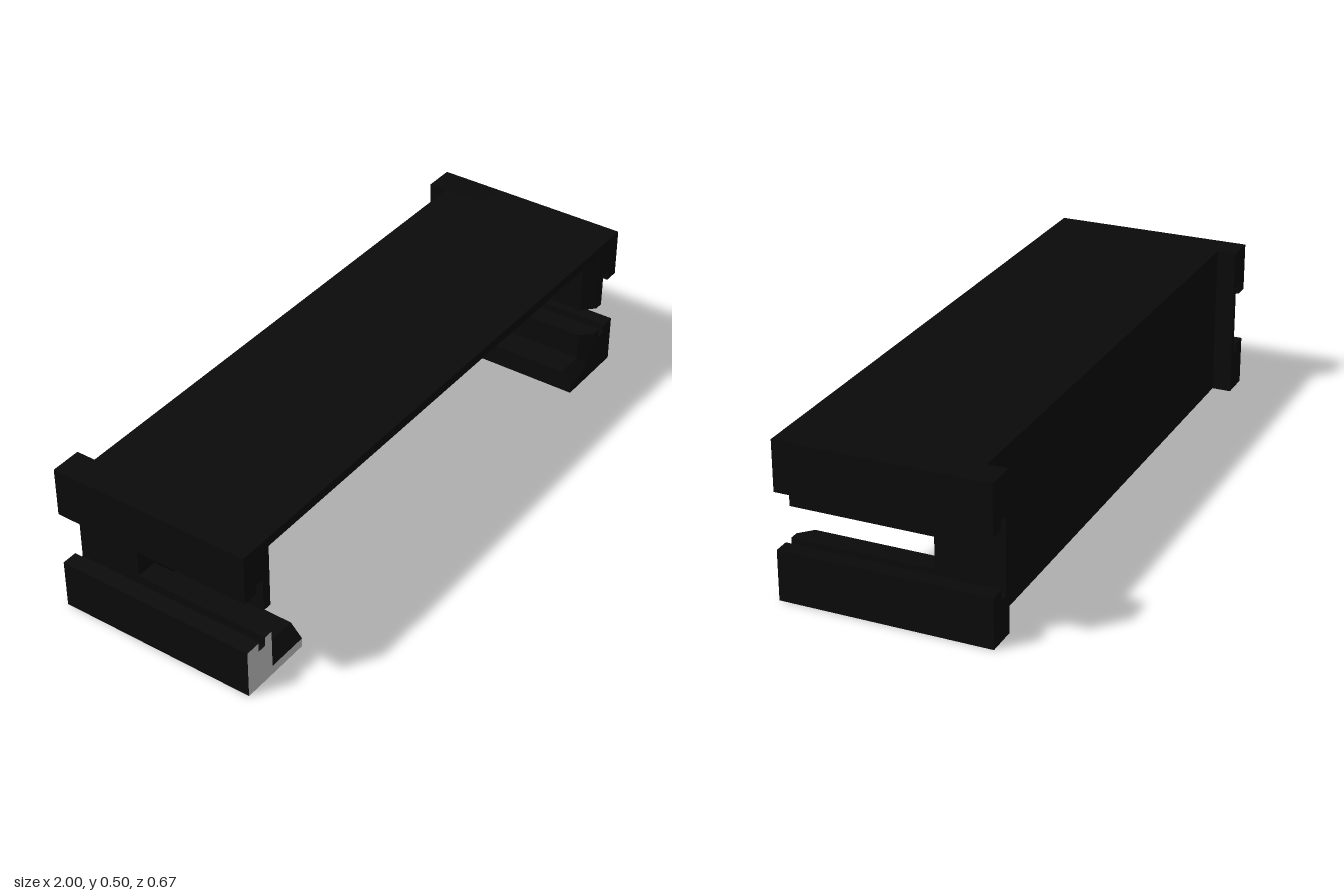
import * as THREE from 'three';

const BACK = -0.333, FRONT = 0.333, PLATE = -0.27, WEB = -0.118, RAMP = 0.295;

const shapeOf = (points) => new THREE.Shape(points.map(([x, y]) => new THREE.Vector2(x, y)));
const mirrorX = (points) => points.map(([x, y]) => [-x, y]).reverse();

// Extrude a front-facing profile between two depths
function extrude(points, z0, z1) {
  const g = new THREE.ExtrudeGeometry(shapeOf(points), { depth: z1 - z0, bevelEnabled: false });
  return g.translate(0, 0, z0);
}

// Widen the inner opening of a profile, used for the lead-in at the mouth
const near = (a, b) => Math.abs(a - b) < 1e-4;
function widen([x, y]) {
  const wx = near(Math.abs(x), 0.85) ? Math.sign(x) * 0.89 : x;
  const wy = near(y, 0.43) ? 0.47 : near(y, 0.07) ? 0.03 : y;
  return [wx, wy];
}

// Short extrusion whose front end flares to the widened profile
function flare(points) {
  const g = extrude(points, RAMP, FRONT);
  const p = g.attributes.position;
  for (let i = 0; i < p.count; i++) {
    if (near(p.getZ(i), FRONT)) {
      const [x, y] = widen([p.getX(i), p.getY(i)]);
      p.setXY(i, x, y);
    }
  }
  g.computeVertexNormals();
  return g;
}

export function createModel() {
  const model = new THREE.Group();
  const black = new THREE.MeshStandardMaterial({ color: 0x0a0a0a });
  const grey = new THREE.MeshStandardMaterial({ color: 0xcccccc });
  const add = (name, geometry, material = black) => {
    const mesh = new THREE.Mesh(geometry, material);
    mesh.name = name;
    model.add(mesh);
  };

  // Outer edge of the grooved side, lower and upper halves
  const lowerGroove = [[1, 0], [1, 0.16], [0.95, 0.16], [0.95, 0.13], [0.92, 0.13]];
  const upperGroove = [[0.92, 0.37], [0.95, 0.37], [0.95, 0.34], [1, 0.34], [1, 0.5]];

  // Solid rear body between the side rails
  const body = new THREE.BoxGeometry(1.8, 0.5, WEB - PLATE);
  body.translate(0, 0.25, (WEB + PLATE) / 2);
  add('rearBody', body);

  // Rear ends of the side rails, standing proud of the body
  const railProfile = [[0.9, 0], ...lowerGroove, ...upperGroove, [0.9, 0.5]];
  add('leftRearRail', extrude(railProfile, BACK, WEB));
  add('rightRearRail', extrude(mirrorX(railProfile), BACK, WEB));

  // Roof with its hanging side walls and upper grooves
  const halfHood = [[0.85, 0.43], [0.85, 0.26], [0.92, 0.26], ...upperGroove];
  const hoodProfile = [...halfHood, ...mirrorX(halfHood)];
  add('hood', extrude(hoodProfile, WEB, RAMP));
  add('hoodMouth', flare(hoodProfile));

  // Lower arms with an inward ledge
  const armProfile = [[0.75, 0], ...lowerGroove,
    [0.92, 0.16], [0.85, 0.16], [0.85, 0.07], [0.75, 0.07]];
  for (const [side, profile] of [['left', armProfile], ['right', mirrorX(armProfile)]]) {
    add(side + 'Arm', extrude(profile, WEB, RAMP));
    add(side + 'ArmTip', flare(profile));
  }

  // Pale end face on the right arm
  const cap = new THREE.ShapeGeometry(shapeOf(mirrorX(armProfile).map(widen)));
  add('rightArmEndFace', cap.translate(0, 0, FRONT + 0.0008), grey);

  return model;
}
